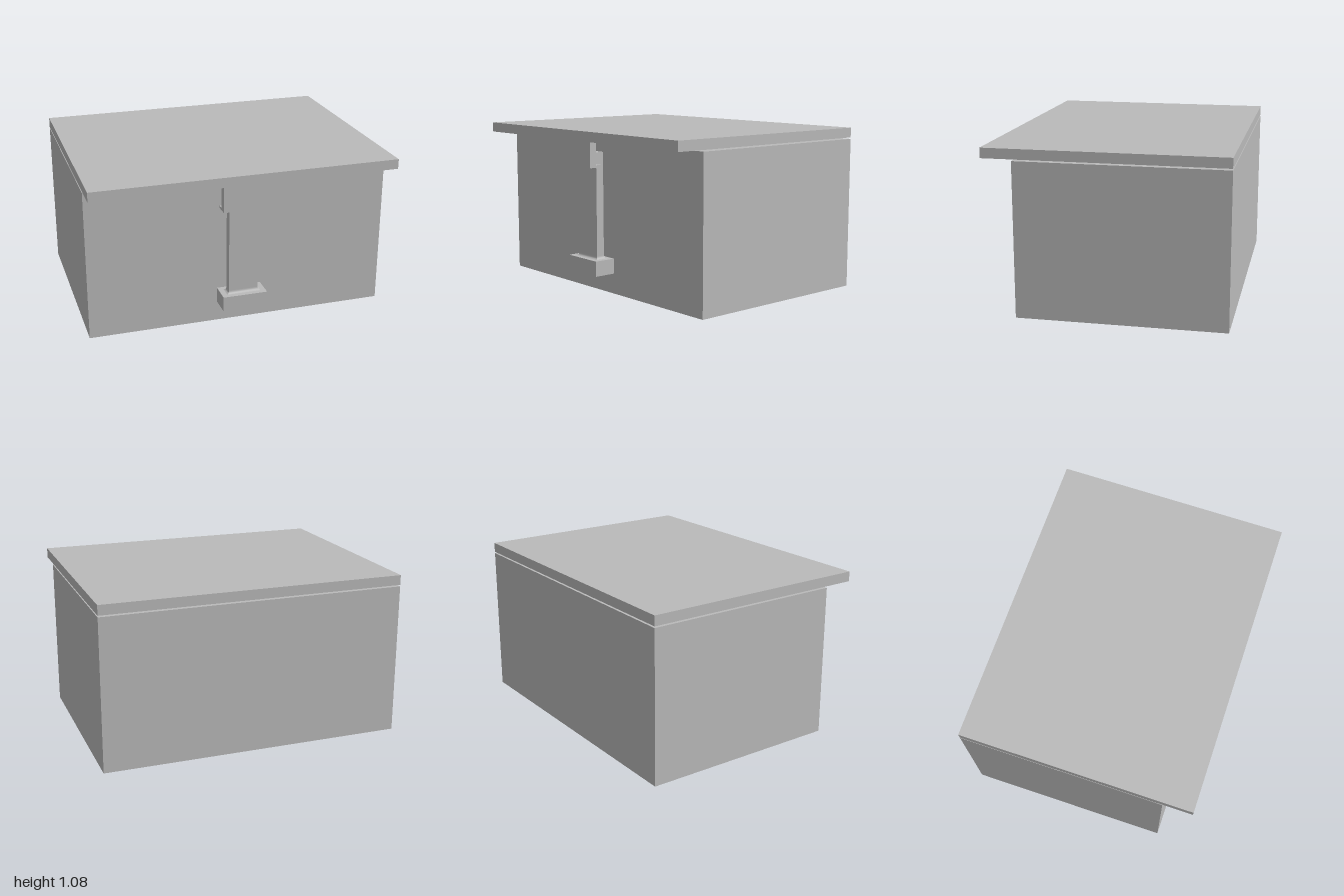
import * as THREE from 'three';

export function createModel() {
  const model = new THREE.Group();
  model.name = 'latchedBox';
  const grey = new THREE.MeshStandardMaterial({ color: 0xbababa });
  grey.name = 'plainGrey';

  const add = (parent, name, geometry) => {
    const mesh = new THREE.Mesh(geometry, grey);
    mesh.name = name;
    parent.add(mesh);
    return mesh;
  };

  // Box spanning the given limits
  const block = (parent, name, x0, x1, y0, y1, z0, z1) =>
    add(parent, name, new THREE.BoxGeometry(x1 - x0, y1 - y0, z1 - z0)
      .translate((x0 + x1) / 2, (y0 + y1) / 2, (z0 + z1) / 2));

  // Side profile of [z, y] points, extruded across x and centred
  const profile = (parent, name, points, width) => {
    const shape = new THREE.Shape(points.map(([z, y]) => new THREE.Vector2(-z, y)));
    const geometry = new THREE.ExtrudeGeometry(shape, { depth: width, bevelEnabled: false });
    geometry.translate(0, 0, -width / 2).rotateY(Math.PI / 2);
    return add(parent, name, geometry);
  };

  // Case and overhanging lid, with a hairline gap between them
  block(model, 'caseBody', -1, 1, 0, 1, -0.767, 0.57);
  const lid = new THREE.Group();
  lid.name = 'lid';
  model.add(lid);
  block(lid, 'lidPlate', -1, 1, 1.01, 1.075, -0.767, 0.767);

  // Catch hanging from the lid, with an inward lip
  profile(lid, 'lidCatch', [
    [0.767, 1.01], [0.767, 0.845], [0.68, 0.845], [0.68, 0.861], [0.72, 0.861], [0.72, 1.01],
  ], 0.33);

  // Latch: mounting block, upright arm and chamfered hook
  const latch = new THREE.Group();
  latch.name = 'latch';
  model.add(latch);
  block(latch, 'latchBase', -0.148, 0.148, 0.135, 0.235, 0.57, 0.717);
  profile(latch, 'latchArm', [
    [0.615, 0.235], [0.615, 0.935], [0.683, 0.935], [0.71, 0.908],
    [0.71, 0.868], [0.67, 0.868], [0.67, 0.235],
  ], 0.196);

  // Concave fillet flaring from the arm into the base
  const h = 0.02;
  const fillet = new THREE.BoxGeometry(0.196, h, 0.055, 1, 5, 1);
  const p = fillet.attributes.position;
  for (let i = 0; i < p.count; i++) {
    const t = p.getY(i) / h + 0.5;
    const flare = 0.015 * (1 - Math.sqrt(Math.max(0, 1 - (1 - t) ** 2)));
    p.setX(i, p.getX(i) + Math.sign(p.getX(i)) * flare);
    p.setZ(i, p.getZ(i) + Math.sign(p.getZ(i)) * flare);
  }
  fillet.computeVertexNormals();
  add(latch, 'armFillet', fillet).position.set(0, 0.235 + h / 2, 0.6425);

  return model;
}
